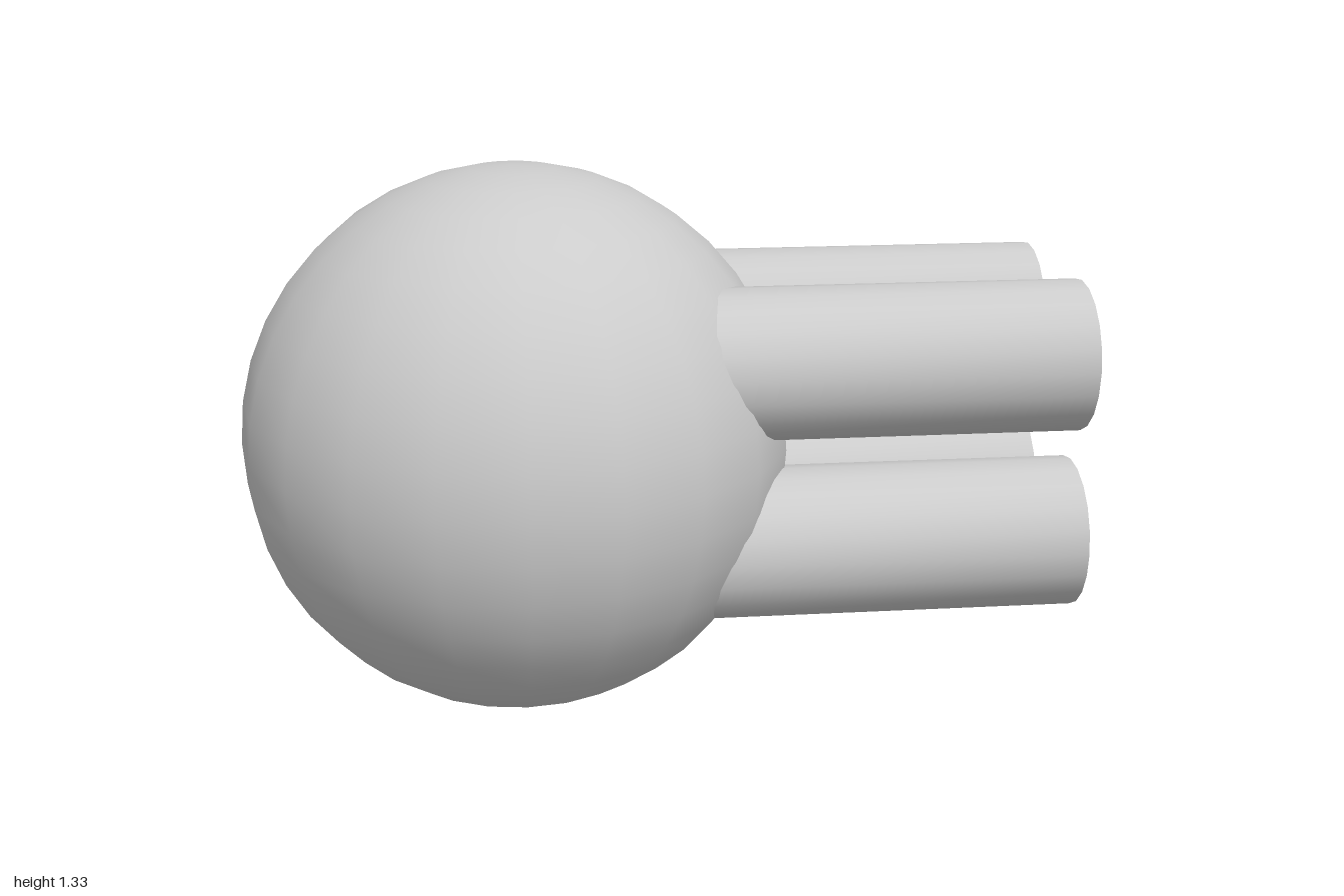
import * as THREE from 'three';
import { toCreasedNormals } from 'three/addons/utils/BufferGeometryUtils.js';

const CENTER_Y = 0.672;

// Hollow pipe running along +x, with crisp rims and smooth walls
function pipeGeometry(outer, inner, length) {
  const ring = new THREE.Shape().absarc(0, 0, outer, 0, Math.PI * 2, false);
  ring.holes.push(new THREE.Path().absarc(0, 0, inner, 0, Math.PI * 2, true));
  const geometry = new THREE.ExtrudeGeometry(ring, { depth: length, bevelEnabled: false, curveSegments: 10 });
  geometry.rotateY(Math.PI / 2);
  return toCreasedNormals(geometry, Math.PI / 4);
}

export function createModel() {
  const group = new THREE.Group();
  const material = new THREE.MeshStandardMaterial({ color: 0xcccccc });

  // Round body
  const body = new THREE.Mesh(new THREE.SphereGeometry(0.667, 20, 20), material);
  body.name = 'sphereBody';
  body.position.set(-0.333, CENTER_Y, 0);
  group.add(body);

  // Four pipes in a square, rooted inside the body
  const geometry = pipeGeometry(0.182, 0.148, 1);
  for (const [row, sy] of [['upper', 1], ['lower', -1]]) {
    for (const [side, sz] of [['Front', 1], ['Back', -1]]) {
      const pipe = new THREE.Mesh(geometry, material);
      pipe.name = `${row}${side}Pipe`;
      pipe.position.set(0, CENTER_Y + sy * 0.222, sz * 0.22);
      group.add(pipe);
    }
  }
  return group;
}
